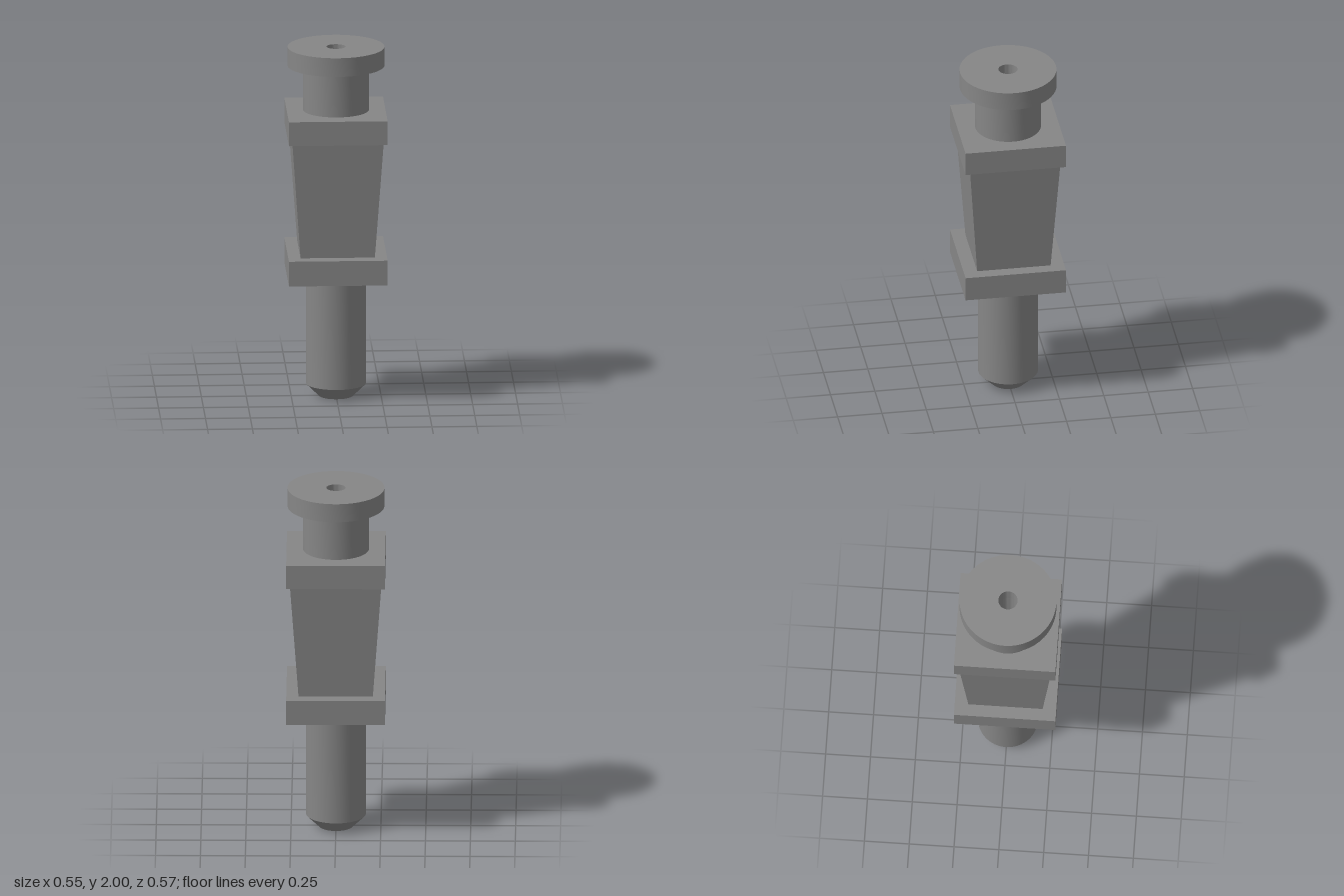
import * as THREE from 'three';
import { toCreasedNormals } from 'three/addons/utils/BufferGeometryUtils.js';

const BORE = 0.0535;
const SEGMENTS = 48;

export function createModel() {
  const group = new THREE.Group();
  const material = new THREE.MeshStandardMaterial({ color: 0x868686 });

  const add = (name, geometry) => {
    const mesh = new THREE.Mesh(toCreasedNormals(geometry, 0.5), material);
    mesh.name = name;
    group.add(mesh);
  };

  // Round part: outer profile from bottom to top, closed along the central bore
  const turned = (name, outer) => {
    const first = outer[0], last = outer[outer.length - 1];
    const profile = [[BORE, first[1]], ...outer, [BORE, last[1]], [BORE, first[1]]];
    add(name, new THREE.LatheGeometry(profile.map(([r, y]) => new THREE.Vector2(r, y)), SEGMENTS));
  };

  // Square part with a central bore; the bottom outline may be narrower than the top
  const block = (name, halfX, halfZ, y0, y1, bottomScale = 1) => {
    const shape = new THREE.Shape();
    shape.moveTo(-halfX, -halfZ);
    shape.lineTo(halfX, -halfZ);
    shape.lineTo(halfX, halfZ);
    shape.lineTo(-halfX, halfZ);
    shape.closePath();
    const hole = new THREE.Path();
    hole.absarc(0, 0, BORE, 0, Math.PI * 2, true);
    shape.holes.push(hole);

    const geometry = new THREE.ExtrudeGeometry(shape, {
      depth: y1 - y0, bevelEnabled: false, curveSegments: SEGMENTS,
    });
    geometry.rotateX(-Math.PI / 2).translate(0, y0, 0);

    const p = geometry.attributes.position;
    for (let i = 0; i < p.count; i++) {
      const outside = Math.hypot(p.getX(i), p.getZ(i)) > BORE * 1.5;
      if (outside && p.getY(i) < (y0 + y1) / 2) {
        p.setX(i, p.getX(i) * bottomScale);
        p.setZ(i, p.getZ(i) * bottomScale);
      }
    }
    add(name, geometry);
  };

  // Lower pin with a chamfered tip
  turned('shaft', [[0.095, 0], [0.167, 0.071], [0.167, 0.697]]);

  // Tapered square body between two collars
  block('lowerCollar', 0.275, 0.283, 0.697, 0.839);
  block('taperedBody', 0.254, 0.254, 0.839, 1.502, 0.815);
  block('upperCollar', 0.275, 0.283, 1.502, 1.639);

  // Round neck and flat head
  turned('neck', [[0.184, 1.639], [0.184, 1.893]]);
  turned('head', [[0.27, 1.893], [0.27, 2]]);

  return group;
}
